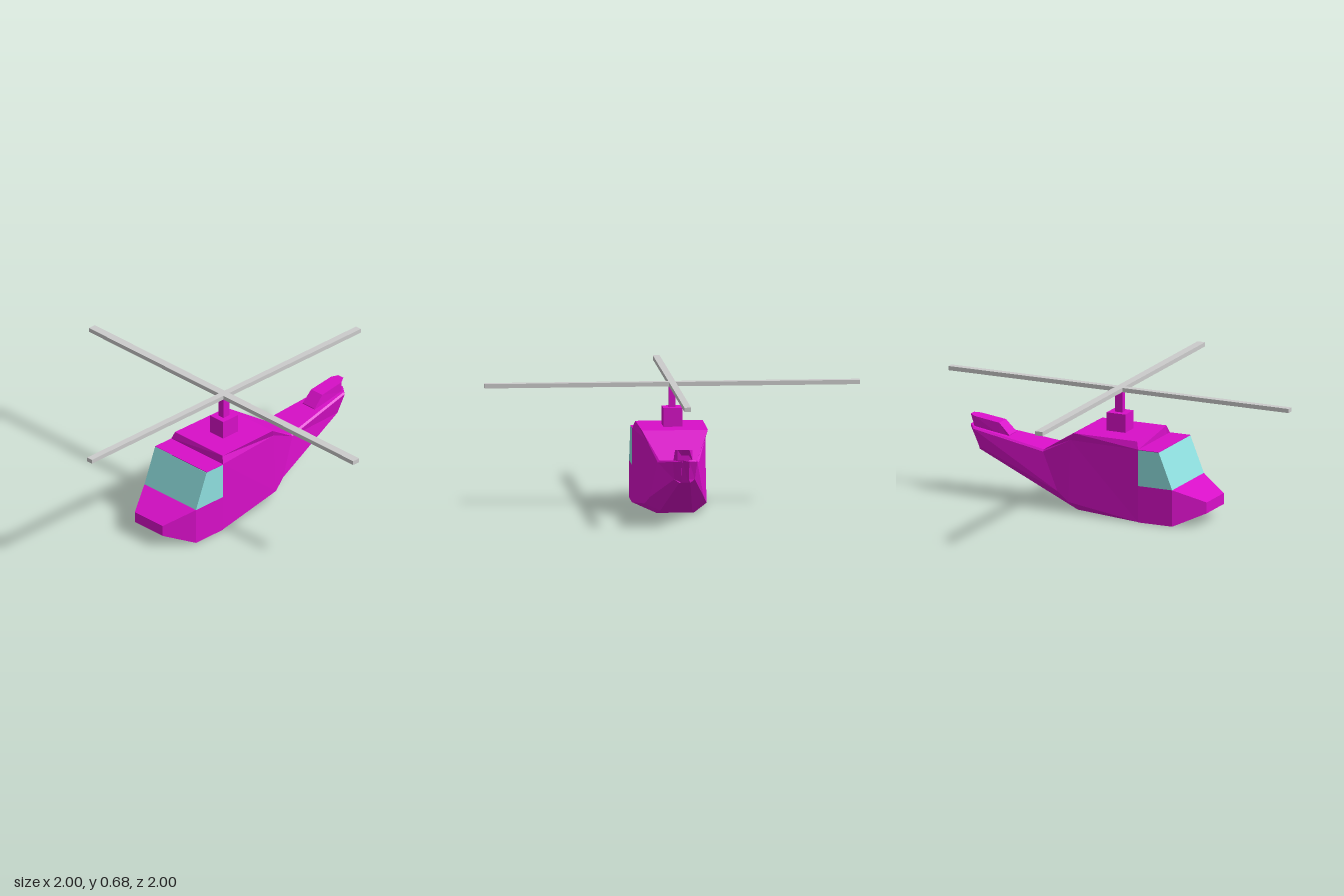
import * as THREE from 'three';

const paint = new THREE.MeshStandardMaterial({ color: 0xd80fc8, flatShading: true });
const glass = new THREE.MeshStandardMaterial({ color: 0x8fe0e0, flatShading: true });
const grey = new THREE.MeshStandardMaterial({ color: 0xcccccc, flatShading: true });

// Skin over mirrored cross-sections, front to back.
// Each section lists its +x half from top to bottom as [x, y, z].
function loft(sections) {
  const rings = sections.map(half => [
    ...half,
    ...half.slice().reverse().map(([x, y, z]) => [-x, y, z]),
  ]);
  const n = rings[0].length;
  const pos = [];
  const tri = (...pts) => pts.forEach(p => pos.push(...p));
  for (let i = 0; i < rings.length - 1; i++) {
    for (let j = 0; j < n; j++) {
      const k = (j + 1) % n;
      const a = rings[i][j], b = rings[i][k], c = rings[i + 1][k], d = rings[i + 1][j];
      tri(a, b, c);
      tri(a, c, d);
    }
  }
  // end caps
  const first = rings[0], last = rings[rings.length - 1];
  for (let j = 1; j < n - 1; j++) {
    tri(first[0], first[j + 1], first[j]);
    tri(last[0], last[j], last[j + 1]);
  }
  const geo = new THREE.BufferGeometry();
  geo.setAttribute('position', new THREE.Float32BufferAttribute(pos, 3));
  geo.computeVertexNormals();
  return geo;
}

export function createModel() {
  const model = new THREE.Group();
  model.name = 'helicopter';

  const add = (name, geometry, material) => {
    const mesh = new THREE.Mesh(geometry, material);
    mesh.name = name;
    model.add(mesh);
    return mesh;
  };
  // box standing between two heights
  const box = (name, w, y0, y1, d, material, z = 0) =>
    add(name, new THREE.BoxGeometry(w, y1 - y0, d), material).position.set(0, (y0 + y1) / 2, z);

  // Nose and lower cockpit
  add('nose', loft([
    [[0.105, 0.13, 0.56], [0.105, 0.07, 0.56]],
    [[0.195, 0.2, 0.4], [0.195, 0, 0.4]],
    [[0.195, 0.2, 0.2], [0.195, 0, 0.2]],
  ]), paint);

  // Glazed canopy with painted roof panel
  add('canopy', loft([
    [[0.195, 0.397, 0.321], [0.195, 0.2, 0.4]],
    [[0.195, 0.397, 0.2], [0.195, 0.2, 0.2]],
  ]), glass);
  box('canopyRoof', 0.39, 0.397, 0.4, 0.12, paint, 0.26);

  // Cabin tapering into the tail boom: roof, shoulder, chine, keel
  add('fuselage', loft([
    [[0.18, 0.44, 0.187], [0.195, 0.4, 0.2], [0.195, 0.002, 0.2], [0.19, 0, 0.2]],
    [[0.175, 0.44, -0.188], [0.158, 0.395, -0.215], [0.165, 0.055, -0.225], [0.1, 0, -0.2]],
    [[0.1, 0.308, -0.4], [0.11, 0.298, -0.4], [0.143, 0.1, -0.3], [0.085, 0.022, -0.265]],
    [[0.055, 0.37, -0.835], [0.065, 0.362, -0.835], [0.055, 0.262, -0.79], [0.03, 0.246, -0.81]],
    [[0.018, 0.375, -0.868], [0.02, 0.365, -0.868], [0.02, 0.265, -0.822], [0.018, 0.248, -0.812]],
  ]), paint);

  // Swept tail fin
  add('tailFin', loft([
    [[0.045, 0.345, -0.63], [0.045, 0.32, -0.63]],
    [[0.042, 0.405, -0.69], [0.045, 0.34, -0.69]],
    [[0.04, 0.425, -0.835], [0.04, 0.365, -0.835]],
    [[0.02, 0.43, -0.868], [0.02, 0.395, -0.837]],
  ]), paint);

  // Rotor mast and crossed blades
  box('mastBase', 0.1, 0.44, 0.54, 0.11, paint);
  box('mast', 0.036, 0.54, 0.655, 0.044, paint);
  box('crosswiseBlade', 2, 0.652, 0.675, 0.044, grey);
  box('lengthwiseBlade', 0.036, 0.652, 0.675, 2, grey);

  return model;
}
